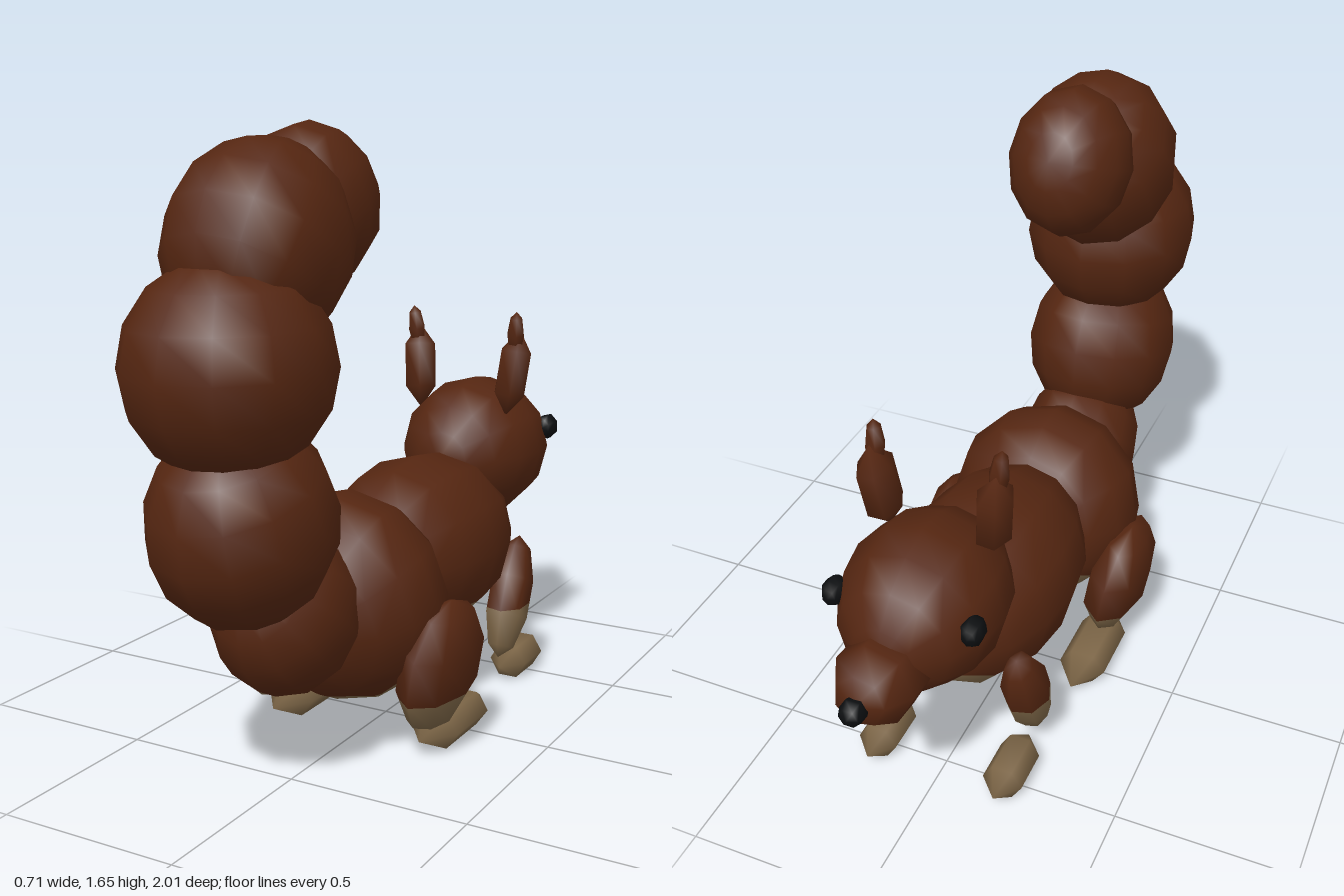
import * as THREE from 'three';

const mat = (name, color) => {
  const m = new THREE.MeshStandardMaterial({ color });
  m.name = name;
  return m;
};

// Low-poly smooth ellipsoid: radii = [x, along pole, across], pole tilted by rotX / rotZ
function ellipsoid(pos, radii, rotX = 0, rotZ = 0, seg = 12, rings = 8) {
  const g = new THREE.SphereGeometry(1, seg, rings);
  g.scale(...radii);
  g.rotateX(rotX);
  g.rotateZ(rotZ);
  g.translate(...pos);
  return g;
}

// Cuts every triangle along side(p) = 0: group 0 above (coat), group 1 below (belly)
function splitColours(geometry, side) {
  const src = geometry.toNonIndexed();
  const P = src.attributes.position, N = src.attributes.normal;
  const out = [{ p: [], n: [] }, { p: [], n: [] }];
  for (let i = 0; i < P.count; i += 3) {
    const tri = [0, 1, 2].map(k => {
      const p = new THREE.Vector3().fromBufferAttribute(P, i + k);
      return { p, n: new THREE.Vector3().fromBufferAttribute(N, i + k), d: side(p) };
    });
    out.forEach((o, which) => {
      const s = which ? -1 : 1, poly = [];
      tri.forEach((a, k) => {
        const b = tri[(k + 1) % 3];
        if (a.d * s >= 0) poly.push(a);
        if (a.d * b.d < 0) {
          const t = a.d / (a.d - b.d);
          poly.push({ p: a.p.clone().lerp(b.p, t), n: a.n.clone().lerp(b.n, t).normalize() });
        }
      });
      for (let k = 1; k + 1 < poly.length; k++)
        for (const v of [poly[0], poly[k], poly[k + 1]]) {
          o.p.push(...v.p.toArray());
          o.n.push(...v.n.toArray());
        }
    });
  }
  const g = new THREE.BufferGeometry();
  const join = key => new THREE.Float32BufferAttribute(out[0][key].concat(out[1][key]), 3);
  g.setAttribute('position', join('p'));
  g.setAttribute('normal', join('n'));
  g.addGroup(0, out[0].p.length / 3, 0);
  g.addGroup(out[0].p.length / 3, out[1].p.length / 3, 1);
  return g;
}

export function createModel() {
  const fur = mat('russet fur', 0x552611);
  const cream = mat('cream fur', 0x7d6647);
  const black = mat('black', 0x0c0e10);
  const model = new THREE.Group();
  model.name = 'squirrel';
  const add = (name, geometry, material) => {
    const m = new THREE.Mesh(geometry, material);
    m.name = name;
    model.add(m);
  };
  const H = Math.PI / 2;

  // Body, with a pale belly
  add('hips', splitColours(ellipsoid([0, 0.425, 0.23], [0.285, 0.25, 0.29], H + 0.2),
    p => p.y - (0.33 - 0.5 * p.z)), [fur, cream]);
  add('chest', splitColours(ellipsoid([0, 0.465, -0.19], [0.25, 0.38, 0.258], H),
    p => p.y - (0.315 + 0.6 * Math.max(0, -p.z - 0.4))), [fur, cream]);

  // Tail: a curling chain of blobs [y, z, width, along, across, tilt]
  [
    [0.46, 0.51, 0.18, 0.22, 0.21, 0.9],
    [0.735, 0.69, 0.225, 0.26, 0.255, 0.3],
    [1.11, 0.735, 0.25, 0.26, 0.27, 0],
    [1.375, 0.605, 0.22, 0.26, 0.245, -0.6],
    [1.46, 0.375, 0.168, 0.185, 0.205, -1.2],
  ].forEach(([y, z, w, l, h, t], i) =>
    add('tailSegment' + (i + 1), ellipsoid([0, y, z], [w, l, h], t), fur));

  // Head, snout and nose
  add('head', ellipsoid([0, 0.68, -0.575], [0.215, 0.26, 0.215], H), fur);
  add('snout', ellipsoid([0, 0.63, -0.825], [0.115, 0.14, 0.115], H + 0.15, 0, 7, 5), fur);
  add('nose', ellipsoid([0, 0.64, -0.962], [0.037, 0.038, 0.037], H, 0, 6, 4), black);

  // Paired parts
  for (const [s, label] of [[1, 'left'], [-1, 'right']]) {
    add(label + 'Eye', ellipsoid([s * 0.187, 0.735, -0.7], [0.032, 0.04, 0.04], H, 0, 7, 5), black);
    add(label + 'Ear', ellipsoid([s * 0.155, 0.93, -0.5], [0.055, 0.13, 0.07], -0.15, -s * 0.1, 6, 3), fur);
    add(label + 'EarTuft', ellipsoid([s * 0.165, 1.045, -0.493], [0.027, 0.07, 0.03], 0.1, -s * 0.08, 6, 4), fur);

    add(label + 'FrontLeg', splitColours(ellipsoid([s * 0.2, 0.27, -0.4], [0.065, 0.185, 0.08], -0.4, 0, 7, 5),
      p => p.y - 0.25), [fur, cream]);
    add(label + 'FrontPaw', ellipsoid([s * 0.19, 0.055, -0.485], [0.066, 0.126, 0.0635], H, 0, 6, 3), cream);

    add(label + 'HindLeg', splitColours(ellipsoid([s * 0.262, 0.26, 0.175], [0.09, 0.185, 0.18], 0, -s * 0.17, 8, 5),
      p => p.y - 0.19), [fur, cream]);
    add(label + 'HindPaw', ellipsoid([s * 0.23, 0.055, 0.048], [0.08, 0.187, 0.0635], H, 0, 6, 3), cream);
  }
  return model;
}
